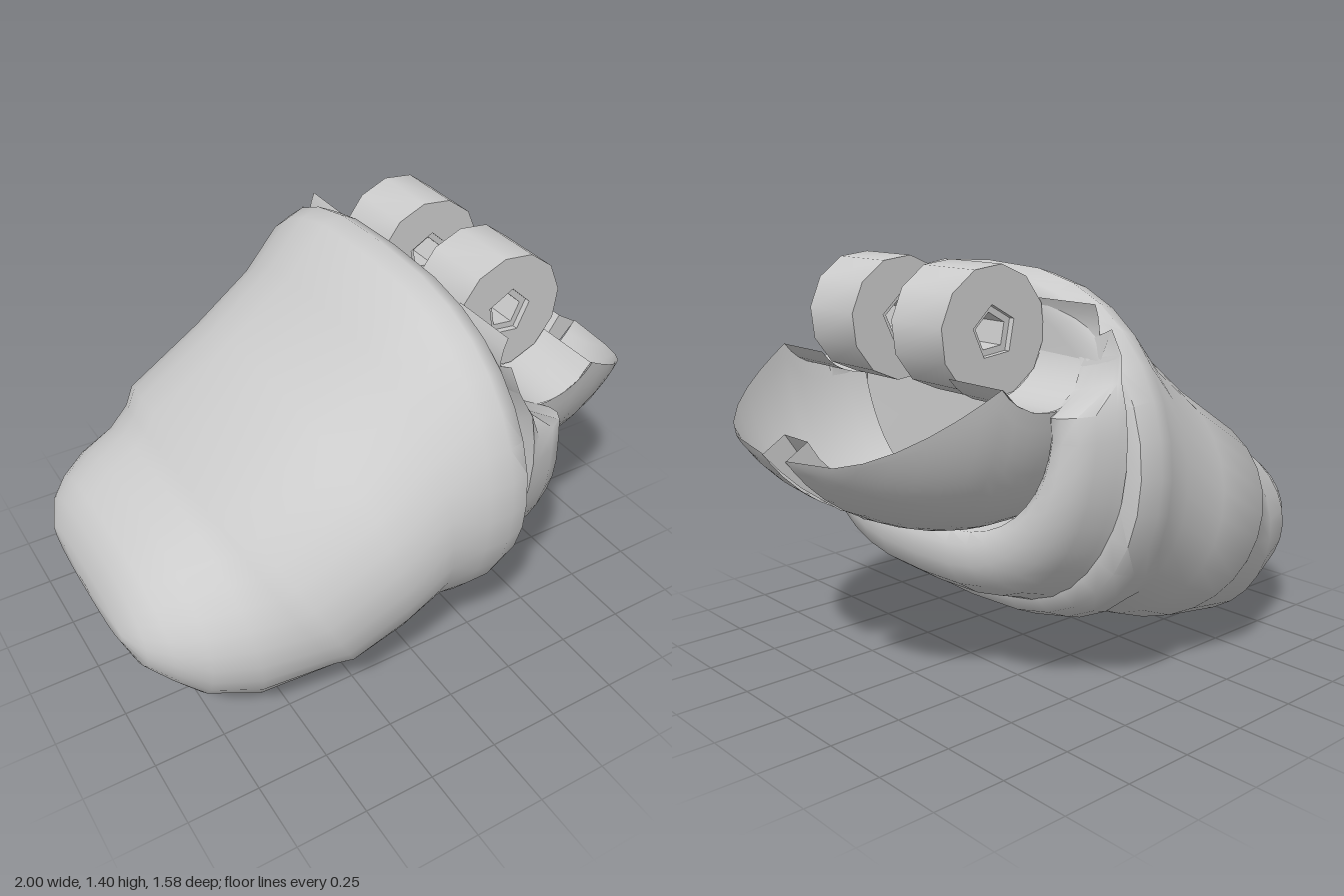
import * as THREE from 'three';
import { toCreasedNormals } from 'three/addons/utils/BufferGeometryUtils.js';

const material = new THREE.MeshStandardMaterial({ color: 0xcccccc, side: THREE.DoubleSide });

// Skin a list of cross-sections (each a list of [x, y, z]).
function loft(rings, closed, crease = 0.8) {
  const n = rings[0].length, index = [];
  for (let i = 0; i < rings.length - 1; i++) {
    for (let j = 0; j < (closed ? n : n - 1); j++) {
      const a = i * n + j, b = i * n + (j + 1) % n;
      index.push(a, b, a + n, b, b + n, a + n);
    }
  }
  const g = new THREE.BufferGeometry();
  g.setAttribute('position', new THREE.Float32BufferAttribute(rings.flat(2), 3));
  g.setIndex(index);
  g.computeVertexNormals();
  return toCreasedNormals(g, crease);
}

const range = (n, f) => Array.from({ length: n + 1 }, (_, i) => f(i / n));
const spow = (v, p) => Math.sign(v) * Math.abs(v) ** p;

// Hinge axis position and clearance radius
const HX = 0.43, HY = 1.2, HR = 0.21;

// Main shell: slanted oval sections [xTop, yTop, xBottom, yBottom, halfWidth]
function shellGeometry() {
  const sections = [
    [-1, 0.41, -1, 0.41, 0.01],
    [-0.99, 0.48, -0.99, 0.35, 0.31],
    [-0.95, 0.57, -0.95, 0.25, 0.42],
    [-0.9, 0.63, -0.87, 0.165, 0.49],
    [-0.8, 0.69, -0.79, 0.085, 0.56],
    [-0.7, 0.74, -0.6, 0, 0.61],
    [-0.65, 0.77, -0.29, 0.065, 0.68],
    [-0.61, 0.83, -0.24, 0.08, 0.72],
    [-0.3, 1.02, -0.1, 0.13, 0.74],
    [-0.07, 1.2, 0.02, 0.18, 0.74],
    [0.08, 1.36, 0.09, 0.16, 0.77],
    [0.15, 1.38, 0.16, 0.185, 0.79],
    [0.21, 1.35, 0.24, 0.22, 0.77],
    [0.23, 1.31, 0.27, 0.28, 0.72],
    [0.23, 1.28, 0.27, 0.33, 0.62],
    [0.24, 0.8, 0.24, 0.8, 0],
  ];
  const n = 32;
  return loft(sections.map(([xt, yt, xb, yb, w]) => Array.from({ length: n }, (_, j) => {
    const a = (j / n) * Math.PI * 2, k = (Math.sin(a) + 1) / 2;
    return [xb + (xt - xb) * k, yb + (yt - yb) * k, w * spow(Math.cos(a), 0.72)];
  })), true);
}

// U-shaped collar, trimmed where the hinge needs room
function collarGeometry() {
  const profile = [[-0.04, 1.08], [0, 1], [0.1, 0.88], [0.17, 0.7], [0.205, 0.42], [0.205, 0.15], [0.18, 0], [-0.04, 0]];
  const rings = range(28, (u) => {
    const a = -0.65 + u * (Math.PI + 1.3), s = Math.sin(a), c = spow(Math.cos(a), 0.68);
    return profile.map(([dx, f]) => {
      const ry = s > 0 ? 0.36 + 0.26 * f : 0.42 + 0.1 * f;
      const y = 0.9 - ry * s;
      let x = 0.285 + dx * (s > 0 ? 0.7 + 0.3 * s : 0.7);
      if (y > HY - HR) x = Math.min(x, HX - Math.sqrt(Math.max(0, HR * HR - (y - HY) ** 2)));
      return [x, y, (0.58 + 0.15 * f) * c];
    });
  });
  // close both ends of the U
  for (const end of [0, rings.length - 1]) {
    const r = rings[end];
    const mid = [0, 1, 2].map((k) => r.reduce((sum, p) => sum + p[k], 0) / r.length);
    const cap = r.map(() => mid);
    if (end === 0) rings.unshift(cap); else rings.push(cap);
  }
  return loft(rings, true, 1);
}

// Height of the scoop's rim: round under the hinge, then a straight slope
function rim(x) {
  if (x < HX) return HY - HR;
  if (x < 0.6) return HY - Math.sqrt(HR * HR - (x - HX) ** 2);
  return 1.08 - (x - 0.6) * 0.6;
}

// One half of the scoop, ending at the centre slot
function scoopHalf(side) {
  const xs = [0.27, 0.35, 0.43, 0.49, 0.55, 0.6, 0.66, 0.73, 0.8, 0.87, 0.93, 0.97, 1];
  return loft(xs.map((x) => {
    const e = 1 - ((x - 0.4) / 0.69) ** 2, r = Math.sqrt(e);
    const t1 = Math.acos(0.036 / r);
    const t0 = Math.min(t1, Math.asin(Math.min(1, (1.14 - rim(x)) / (0.6 * r))));
    return range(14, (u) => {
      const t = t0 + (t1 - t0) * u;
      return [x, 1.14 - 0.6 * r * Math.sin(t), side * 0.6 * (e * Math.cos(t) ** 2) ** 0.333];
    });
  }), false);
}

// Slot channel: raised floor with a wall on each side
function slotGeometry() {
  const floor = [[0.35, 0.57], [0.5, 0.59], [0.62, 0.635], [0.72, 0.69], [0.82, 0.77], [0.88, 0.83], [0.92, 0.89]];
  const outer = [[0.35, 0.54], [0.5, 0.545], [0.62, 0.57], [0.73, 0.61], [0.87, 0.71], [0.94, 0.775], [1, 0.84]];
  return loft(floor.map(([x, y], i) => [
    [...outer[i], -0.065], [x, y, -0.065], [x, y, 0.065], [...outer[i], 0.065],
  ]), false, 0.7);
}

// Regular polygon outline around the hinge axis
function polygon(target, r, n, phase) {
  target.setFromPoints(range(n, (u) => {
    const a = phase + u * Math.PI * 2;
    return new THREE.Vector2(HX + r * Math.cos(a), HY + r * Math.sin(a));
  }));
  return target;
}

// Round plate with a five-sided hole
function holedPlate(r, sides, hole, z, depth) {
  const shape = polygon(new THREE.Shape(), r, sides, 0.15);
  shape.holes.push(polygon(new THREE.Path(), hole, 5, 0.2));
  const g = new THREE.ExtrudeGeometry(shape, { depth, bevelEnabled: false });
  g.translate(0, 0, z);
  return toCreasedNormals(g, 0.8);
}

// Curved recess beside each knuckle
function recess(side) {
  return loft(range(16, (u) => {
    const a = 2.7 + u * (Math.PI * 2 - 0.62 - 2.7);
    const x = HX + HR * Math.cos(a), y = HY + HR * Math.sin(a);
    return [[x, y, side * 0.34], [x, y, side * 0.585]];
  }), false);
}

export function createModel() {
  const model = new THREE.Group();
  const add = (name, geometry) => {
    const mesh = new THREE.Mesh(geometry, material);
    mesh.name = name;
    model.add(mesh);
  };
  add('shell', shellGeometry());
  add('collar', collarGeometry());
  add('slotChannel', slotGeometry());

  for (const [label, side] of [['left', 1], ['right', -1]]) {
    // here left/right means the +z / -z half
    add(label + 'Scoop', scoopHalf(side));
    add(label + 'Recess', recess(side));
    add(label + 'Knuckle', holedPlate(0.205, 12, 0.085, side > 0 ? 0.105 : -0.35, 0.245));
    add(label + 'Bushing', holedPlate(0.09, 5, 0.06, side > 0 ? 0.125 : -0.33, 0.205));
  }
  return model;
}
